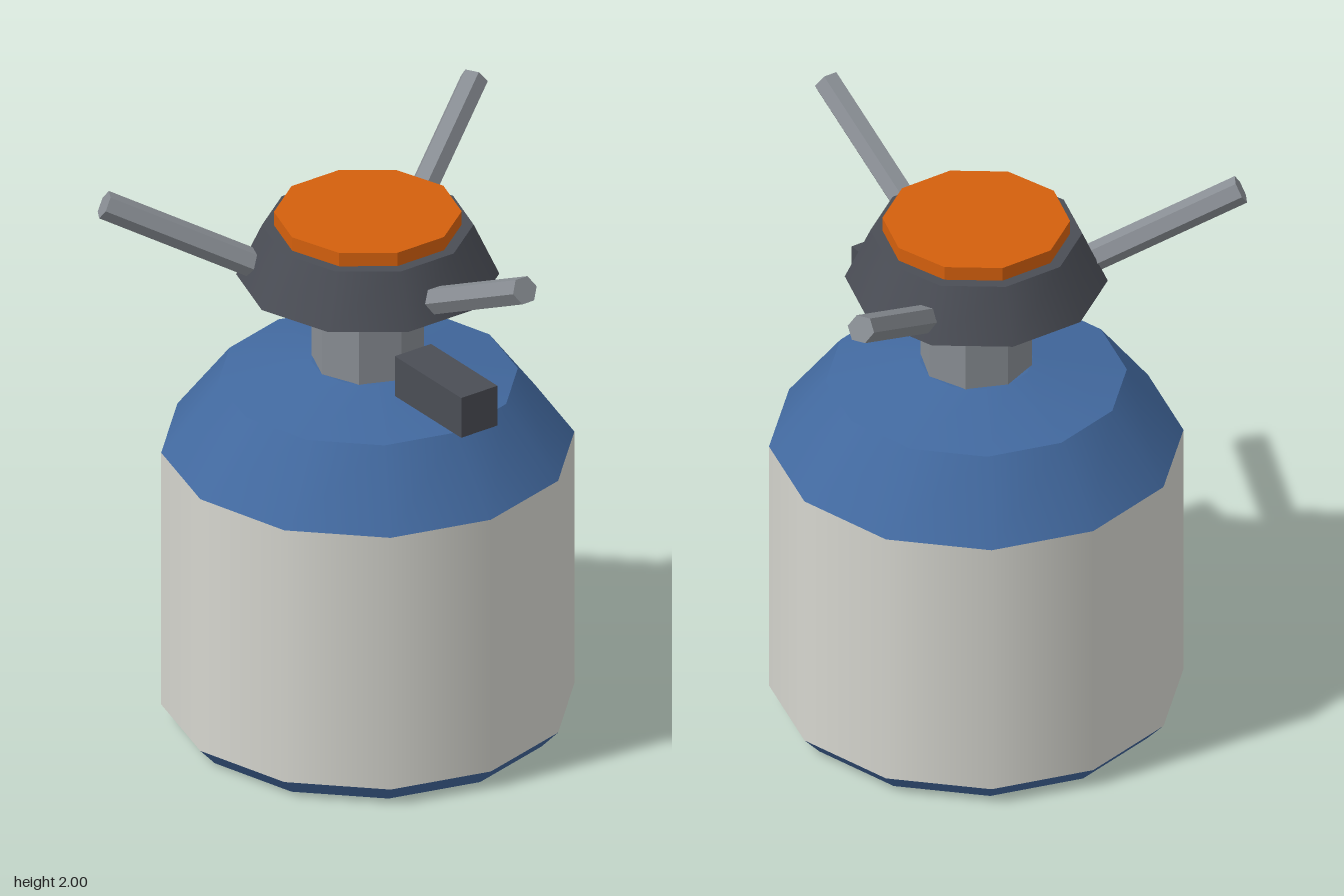
import * as THREE from 'three';

const mat = (name, color, flatShading = false) => {
  const m = new THREE.MeshStandardMaterial({ color, flatShading });
  m.name = name;
  return m;
};

export function createModel() {
  const white = mat('canister white', 0xd6d6cf);
  const blue = mat('canister blue', 0x42699f);
  const steel = mat('steel grey', 0x888d93);
  const dark = mat('dark grey', 0x4a4d55);
  const orange = mat('burner orange', 0xd4600d);

  const model = new THREE.Group();
  model.name = 'campingStove';
  const axis = new THREE.Group(); // everything turns around the canister's axis
  axis.name = 'stove';
  axis.position.x = -0.105;
  model.add(axis);

  const add = (name, geometry, material, y = 0, parent = axis) => {
    const mesh = new THREE.Mesh(geometry, material);
    mesh.name = name;
    mesh.position.y = y;
    parent.add(mesh);
    return mesh;
  };

  // Tapered section from radius r0 at y0 up to radius r1 at y1
  const section = (name, r0, y0, r1, y1, sides, material, open = false) =>
    add(name, new THREE.CylinderGeometry(r1, r0, y1 - y0, sides, 1, open), material, (y0 + y1) / 2);

  // Faceted version of a geometry, for hard-edged parts
  const faceted = (mesh) => {
    mesh.geometry = mesh.geometry.toNonIndexed();
    mesh.geometry.computeVertexNormals();
    return mesh;
  };

  // Gas canister, twelve sides with smooth walls
  section('canisterBase', 0.635, 0, 0.695, 0.065, 12, blue);
  section('canisterBody', 0.695, 0.065, 0.695, 1.015, 12, white, true);
  section('canisterShoulder', 0.695, 1.015, 0.505, 1.265, 12, blue, true);
  section('canisterTop', 0.505, 1.265, 0.19, 1.33, 12, blue);

  // Valve stem and burner head
  faceted(section('stem', 0.19, 1.31, 0.19, 1.66, 8, steel));
  section('burnerCup', 0.44, 1.65, 0.354, 1.835, 10, dark);
  faceted(section('burnerPlate', 0.314, 1.83, 0.314, 1.885, 10, orange));

  // Valve handle
  add('valveHandle', new THREE.BoxGeometry(0.375, 0.15, 0.15), dark, 1.395).position.x = 0.4425;

  // Three rising hexagonal pot supports
  const tilt = Math.atan(0.497);
  for (let i = 0; i < 3; i++) {
    const pivot = new THREE.Group();
    pivot.name = 'potSupport' + (i + 1);
    pivot.rotation.y = (i * Math.PI * 2) / 3;
    axis.add(pivot);
    const arm = faceted(add('supportArm', new THREE.CylinderGeometry(0.049, 0.049, 0.706, 6), steel, 1.805, pivot));
    arm.position.x = 0.571;
    arm.rotation.z = tilt - Math.PI / 2;
  }
  return model;
}
